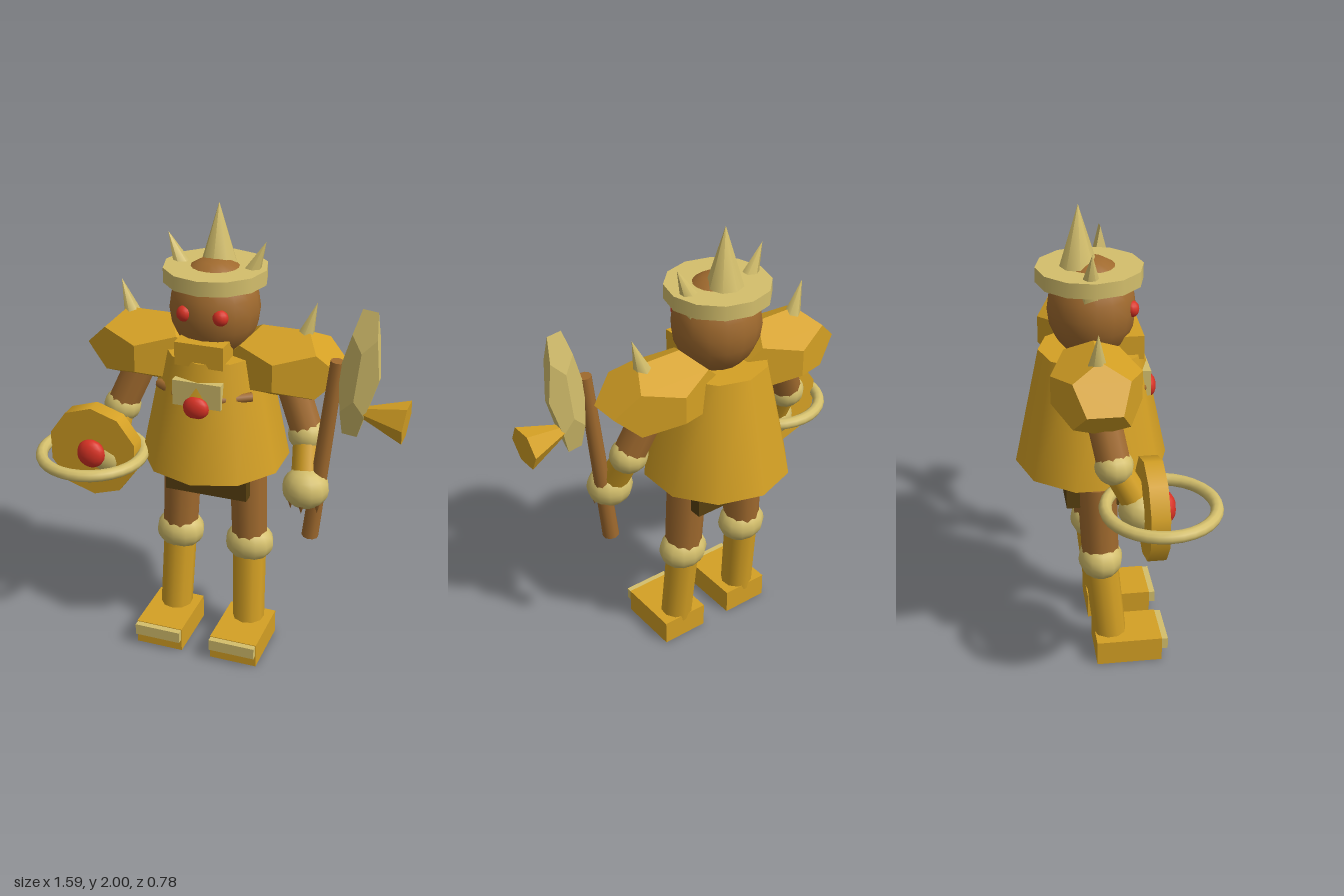
import * as THREE from 'three';

const makeMaterial = (name, color, extra = {}) => {
  const m = new THREE.MeshStandardMaterial({ color, ...extra });
  m.name = name;
  return m;
};

export function createModel() {
  const gold = makeMaterial('gold', 0xd4a024);
  const facetedGold = gold.clone();
  facetedGold.flatShading = true;
  const pale = makeMaterial('pale gold', 0xd4bf6c);
  const facetedPale = pale.clone();
  facetedPale.flatShading = true;
  const brown = makeMaterial('bronze brown', 0xa06a2e);
  const dark = makeMaterial('dark brown', 0x584010);
  const red = makeMaterial('ruby red', 0xd83224);

  const model = new THREE.Group();
  const CX = -0.06; // body centre line
  const V = (x, y, z) => new THREE.Vector3(x, y, z);

  const add = (name, geo, mat, x = 0, y = 0, z = 0) => {
    const mesh = new THREE.Mesh(geo, mat);
    mesh.name = name;
    mesh.position.set(x, y, z);
    model.add(mesh);
    return mesh;
  };
  const box = (name, w, h, d, mat, x, y, z) =>
    add(name, new THREE.BoxGeometry(w, h, d), mat, x, y, z);
  const ball = (name, rx, ry, rz, mat, x, y, z, seg = 12) => {
    const mesh = add(name, new THREE.SphereGeometry(1, seg, 10), mat, x, y, z);
    mesh.scale.set(rx, ry, rz);
    return mesh;
  };
  // Cylinder or cone running from point a to point b
  const rod = (name, a, b, ra, rb, mat, seg = 10) => {
    const mid = a.clone().add(b).multiplyScalar(0.5);
    const mesh = add(name, new THREE.CylinderGeometry(rb, ra, a.distanceTo(b), seg), mat, mid.x, mid.y, mid.z);
    mesh.quaternion.setFromUnitVectors(V(0, 1, 0), b.clone().sub(a).normalize());
    return mesh;
  };
  const rock = (name, rx, ry, rz, mat, x, y, z) => {
    const mesh = add(name, new THREE.DodecahedronGeometry(1), mat, x, y, z);
    mesh.scale.set(rx, ry, rz);
    return mesh;
  };

  // Torso and pelvis
  add('torso', new THREE.CylinderGeometry(0.215, 0.32, 0.505, 10), gold, CX, 1.1475, -0.075);
  box('pelvis', 0.37, 0.2, 0.26, dark, CX, 0.85, -0.07);
  box('chestPlate', 0.21, 0.11, 0.06, pale, CX, 1.27, 0.13);
  ball('chestGem', 0.057, 0.05, 0.032, red, CX, 1.215, 0.165);

  // Head and crown
  ball('head', 0.19, 0.21, 0.18, brown, CX, 1.575, -0.07, 16);
  box('jaw', 0.21, 0.1, 0.12, gold, CX, 1.43, 0.07);
  add('crownBand', new THREE.CylinderGeometry(0.217, 0.217, 0.062, 12), pale, CX, 1.72, -0.077);
  rod('crownSpike', V(CX, 1.7, -0.12), V(CX, 2, -0.12), 0.092, 0, pale, 8);

  for (const s of [-1, 1]) {
    const side = s > 0 ? 'left' : 'right';
    const P = (x, y, z) => V(CX + s * x, y, z);

    ball(side + 'Eye', 0.034, 0.034, 0.03, red, CX + s * 0.077, 1.588, 0.082);
    rod(side + 'CrownSpike', P(0.105, 1.63, -0.09), P(0.21, 1.866, -0.09), 0.065, 0, pale, 6);
    rod(side + 'ChestStrap', P(0.07, 1.25, 0.142), P(0.205, 1.25, 0.055), 0.02, 0.02, brown, 8);

    // Shoulder armour
    rock(side + 'Shoulder', 0.28, 0.165, 0.193, facetedGold, CX + s * 0.3, 1.36, -0.087);
    rod(side + 'ShoulderSpike', P(0.37, 1.45, -0.095), P(0.428, 1.636, -0.095), 0.046, 0, pale, 6);

    // Arm
    const hand = P(s > 0 ? 0.45 : 0.435, 0.88, 0.072);
    rod(side + 'UpperArm', P(0.31, 1.34, -0.085), P(0.42, 1.08, -0.035), 0.07, 0.07, brown);
    ball(side + 'Elbow', 0.083, 0.075, 0.078, pale, CX + s * 0.42, 1.075, -0.035);
    rod(side + 'Forearm', P(0.42, 1.08, -0.035), hand, 0.058, 0.062, gold);
    ball(side + 'Hand', 0.1, 0.09, 0.093, pale, hand.x, hand.y, hand.z);

    // Leg
    const knee = P(0.165, 0.485, -0.057);
    rod(side + 'Thigh', P(0.152, 0.845, -0.07), knee, 0.085, 0.08, brown);
    ball(side + 'Knee', 0.11, 0.092, 0.095, pale, knee.x, knee.y, knee.z);
    rod(side + 'Shin', knee, P(0.176, 0.09, -0.017), 0.074, 0.072, gold);
    box(side + 'Foot', 0.215, 0.112, 0.285, gold, CX + s * 0.176, 0.056, 0.057);
    box(side + 'ToePlate', 0.21, 0.052, 0.04, pale, CX + s * 0.176, 0.083, 0.206);
  }

  // Small claws below the axe hand
  for (const [dx, dz] of [[-0.055, 0.03], [0, 0.06], [0.06, 0.03], [0, -0.03]])
    rod('claw', V(0.39 + dx, 0.85, 0.072 + dz), V(0.39 + dx, 0.785, 0.072 + dz), 0.02, 0, brown, 6);

  // Shield with gem and surrounding ring
  add('shield', new THREE.CylinderGeometry(0.207, 0.207, 0.075, 10), gold, -0.55, 0.915, 0.108)
    .rotation.x = Math.PI / 2;
  ball('shieldGem', 0.065, 0.065, 0.04, red, -0.55, 0.915, 0.16);
  add('shieldRing', new THREE.TorusGeometry(0.22, 0.026, 10, 32), pale, -0.55, 0.915, 0.142)
    .rotation.x = Math.PI / 2;

  // Axe
  rod('axeHandle', V(0.41, 0.64, 0.05), V(0.497, 1.46, 0.05), 0.036, 0.029, brown);
  rock('axeBlade', 0.088, 0.293, 0.042, facetedPale, 0.588, 1.415, 0.05).rotation.z = -0.11;
  rod('axeSpike', V(0.545, 1.26, 0.05), V(0.787, 1.238, 0.05), 0, 0.09, facetedGold, 6);

  return model;
}
